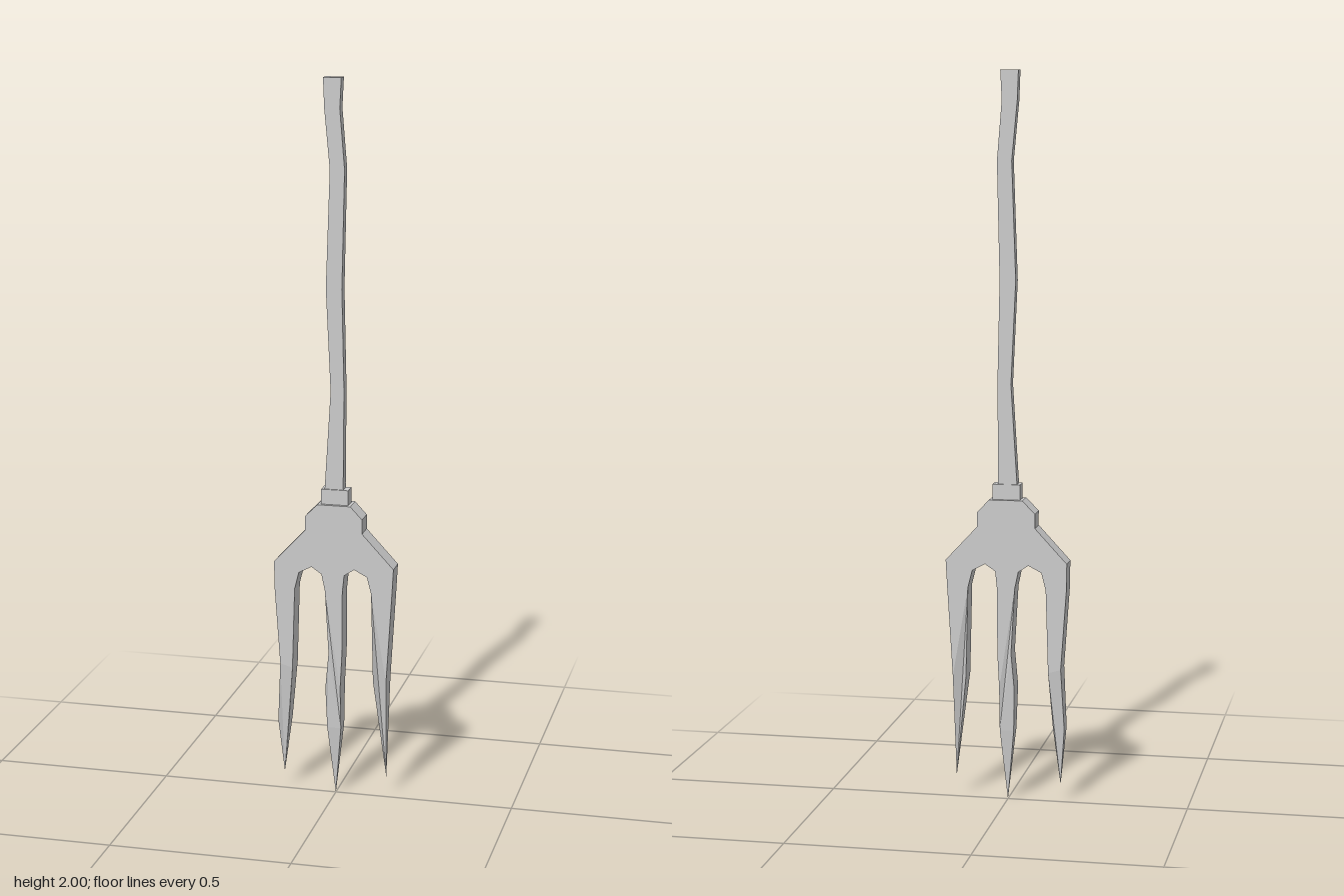
import * as THREE from 'three';

const material = new THREE.MeshStandardMaterial({ color: 0xcccccc, flatShading: true });

// Flat outline extruded to a slab centred on z = 0; thin(y) scales its thickness.
function slab(name, points, halfDepth, thin = () => 1) {
  const shape = new THREE.Shape(points.map(([x, y]) => new THREE.Vector2(x, y)));
  const geometry = new THREE.ExtrudeGeometry(shape, { depth: 2 * halfDepth, bevelEnabled: false });
  geometry.translate(0, 0, -halfDepth);
  const p = geometry.attributes.position;
  for (let i = 0; i < p.count; i++) p.setZ(i, p.getZ(i) * thin(p.getY(i)));
  geometry.computeVertexNormals();
  const mesh = new THREE.Mesh(geometry, material);
  mesh.name = name;
  return mesh;
}

export function createModel() {
  const group = new THREE.Group();
  group.name = 'pitchfork';

  // Crooked wooden handle: [y, left x, right x]
  const rows = [
    [0.85, -0.03, 0.025], [0.9, -0.027, 0.024], [1.16, -0.011, 0.026], [1.44, -0.024, 0.02],
    [1.76, -0.013, 0.027], [1.92, -0.028, 0.014], [2, -0.031, 0.018],
  ];
  group.add(slab('handle', [
    ...rows.map(([y, , r]) => [r, y]),
    ...rows.slice().reverse().map(([y, l]) => [l, y]),
  ], 0.015));

  // Collar joining handle and head
  const collar = new THREE.Mesh(new THREE.BoxGeometry(0.076, 0.05, 0.038), material);
  collar.name = 'collar';
  collar.position.set(0.001, 0.862, 0);
  group.add(collar);

  // Head with three uneven tines, thinning to sharp points
  const outline = [
    [0.047, 0.845], [-0.045, 0.845], [-0.08, 0.81], [-0.08, 0.77], [-0.168, 0.675],
    // left-hand side tine
    [-0.167, 0.6], [-0.152, 0.38], [-0.161, 0.21], [-0.148, 0.05],
    [-0.13, 0.21], [-0.117, 0.37], [-0.11, 0.6],
    [-0.098, 0.648], [-0.062, 0.667], [-0.034, 0.648],
    // middle tine
    [-0.024, 0.6], [-0.014, 0.42], [-0.023, 0.32], [-0.02, 0.2], [0, 0],
    [0.019, 0.2], [0.019, 0.32], [0.024, 0.42], [0.025, 0.6],
    [0.03, 0.648], [0.058, 0.667], [0.094, 0.648],
    // other side tine
    [0.106, 0.6], [0.112, 0.35], [0.145, 0.06], [0.149, 0.35], [0.164, 0.6],
    [0.168, 0.675], [0.08, 0.77], [0.08, 0.81],
  ];
  group.add(slab('forkHead', outline, 0.029, (y) => (y > 0.3 ? 1 : y > 0.1 ? 0.7 : 0)));

  return group;
}
